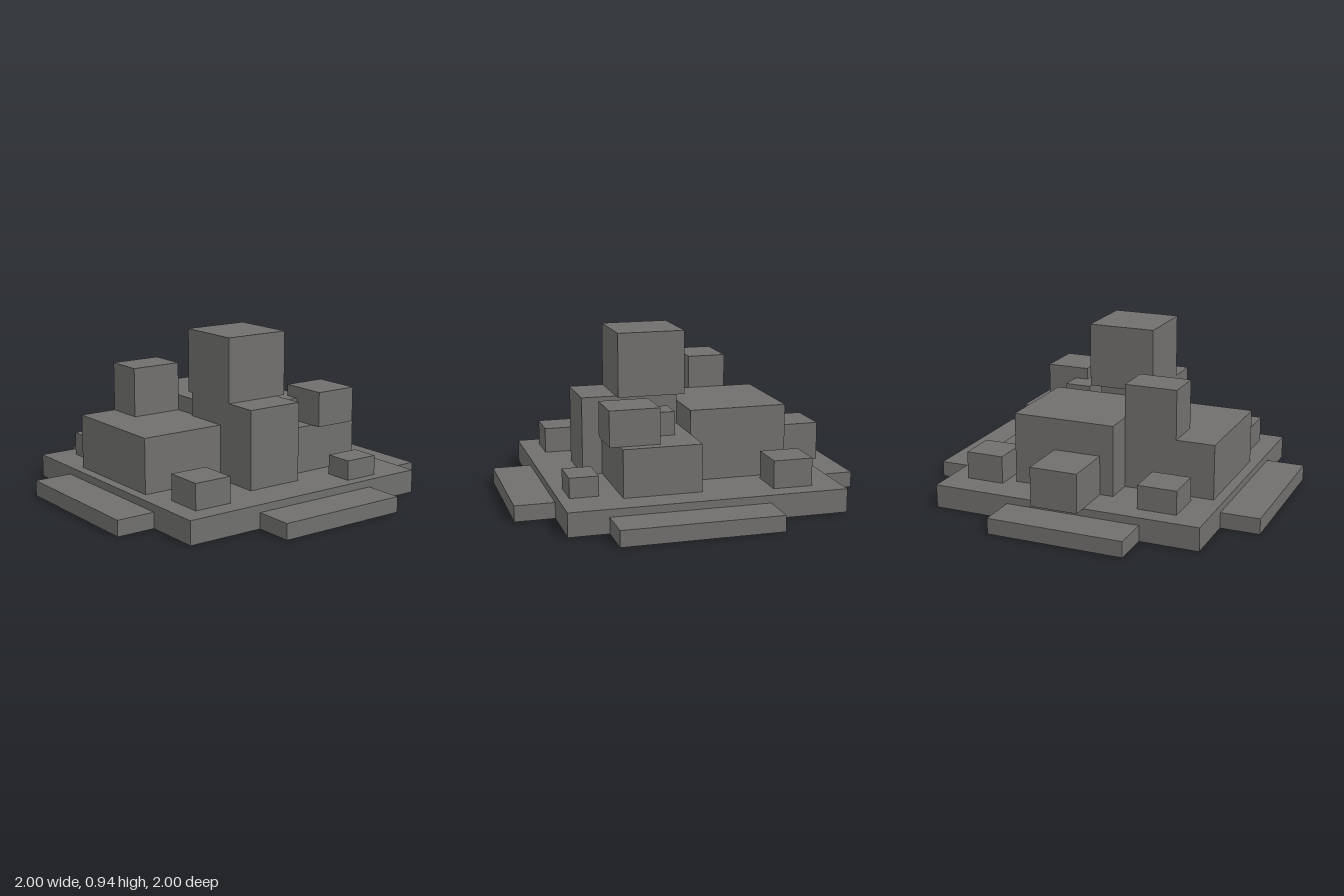
import * as THREE from 'three';

export function createModel() {
  const model = new THREE.Group();
  model.name = 'blockComplex';
  const stone = new THREE.MeshStandardMaterial({ color: 0x706f6e });
  stone.name = 'grey stone';

  // Box given by its extents along each axis
  const block = (name, [x0, x1], [y0, y1], [z0, z1]) => {
    const mesh = new THREE.Mesh(new THREE.BoxGeometry(x1 - x0, y1 - y0, z1 - z0), stone);
    mesh.name = name;
    mesh.position.set((x0 + x1) / 2, (y0 + y1) / 2, (z0 + z1) / 2);
    model.add(mesh);
  };

  const edge = 0.777, deck = 0.133, step = 0.09;

  // Square platform with one low step on each side
  block('platform', [-edge, edge], [0, deck], [-edge, edge]);
  block('frontStep', [-0.443, 0.443], [0, step], [edge, 1]);
  block('backStep', [-0.335, 0.555], [0, step], [-1, -edge]);
  block('leftStep', [edge, 1], [0, step], [-0.445, 0.333]);
  block('rightStep', [-1, -edge], [0, step], [-0.335, 0.442]);

  // Main halls standing on the platform
  block('centralHall', [-0.555, 0], [deck, 0.535], [-0.39, 0.2]);
  block('frontHall', [-0.39, 0.275], [deck, 0.445], [0.2, 0.72]);
  block('backHall', [0, 0.44], [deck, 0.4], [-0.613, -0.11]);
  block('rightAnnex', [-0.855, -0.555], [deck, 0.355], [-0.15, 0.122]);

  // Tower with an upper block that overhangs its base
  block('towerBase', [0, 0.553], [deck, 0.58], [-0.11, 0.222]);
  block('towerTop', [-0.032, 0.355], [0.58, 0.945], [-0.165, 0.222]);

  // Rooftop blocks
  block('frontTurret', [-0.39, -0.168], [0.445, 0.725], [0.2, 0.5]);
  block('backTurret', [0.22, 0.5], [0.4, 0.6], [-0.555, -0.302]);
  block('smallTurret', [0.088, 0.306], [0.4, 0.533], [-0.38, -0.225]);

  // Small huts near the platform corners
  block('frontLeftHut', [0.443, 0.664], [deck, 0.28], [0.443, 0.664]);
  block('frontRightHut', [-0.668, -0.447], [deck, 0.268], [0.387, 0.61]);
  block('backRightHut', [-0.613, -0.39], [deck, 0.29], [-0.667, -0.447]);
  block('backLeftHut', [0.555, 0.717], [deck, 0.245], [-0.535, -0.335]);

  return model;
}
